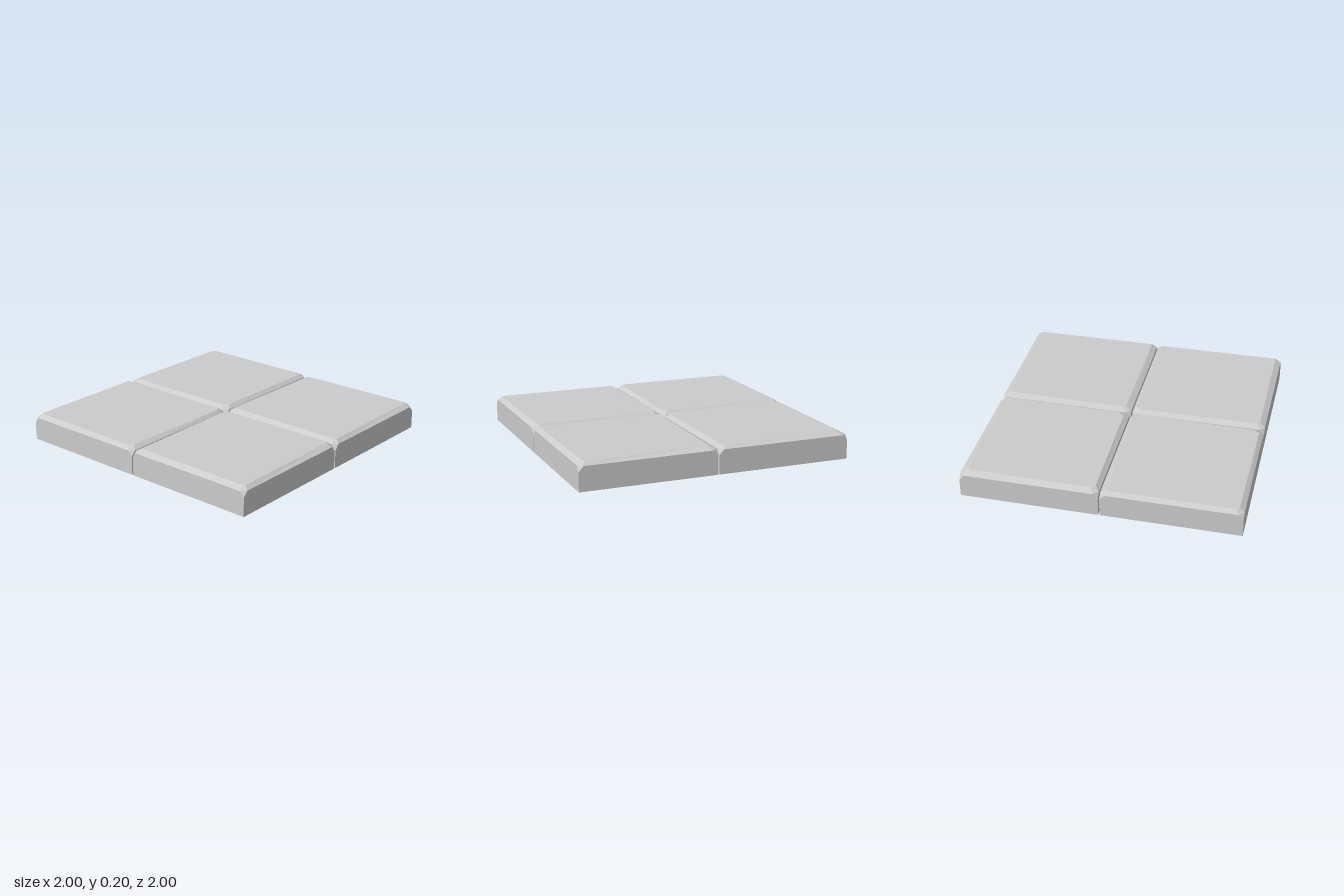
import * as THREE from 'three';

const GAP = 0.005, EDGE = 1;
const CORNER_Y = 0.135, BEVEL_Y = 0.175, TOP_Y = 0.2, CORNER_INSET = 0.035;

// Worn top corners per tile: [x inset, z inset, corner cut],
// in the order front-right-hand turn: (-x,+z), (+x,+z), (+x,-z), (-x,-z).
const TILES = [
  { name: 'backRightTile', sx: -1, sz: -1,
    top: [[0.04, 0.03, 0.025], [0.03, 0.035, 0.04], [0.03, 0.035, 0.02], [0.05, 0.045, 0.02]] },
  { name: 'backLeftTile', sx: 1, sz: -1,
    top: [[0.035, 0.045, 0.015], [0.03, 0.04, 0.015], [0.04, 0.03, 0.015], [0.045, 0.048, 0.02]] },
  { name: 'frontRightTile', sx: -1, sz: 1,
    top: [[0.03, 0.037, 0.02], [0.035, 0.03, 0.03], [0.025, 0.03, 0.025], [0.03, 0.045, 0.01]] },
  { name: 'frontLeftTile', sx: 1, sz: 1,
    top: [[0.04, 0.04, 0.02], [0.03, 0.042, 0.015], [0.04, 0.027, 0.02], [0.03, 0.035, 0.02]] },
];
const CORNERS = [[-1, 1], [1, 1], [1, -1], [-1, -1]];

// Eight-point ring: each corner is split into two points by its cut.
function ring(tile, y, insets) {
  const half = (EDGE - GAP) / 2, mid = (EDGE + GAP) / 2;
  return CORNERS.flatMap(([cx, cz], i) => {
    const [ix, iz, cut] = insets[i];
    const point = (dx, dz) => [
      tile.sx * mid + cx * (half - ix - dx), y, tile.sz * mid + cz * (half - iz - dz)];
    const pair = [point(0, cut), point(cut, 0)];
    return i % 2 ? pair.reverse() : pair;
  });
}

// Hollow slab open underneath, with bevelled rim and faceted corners.
function tileGeometry(tile) {
  const same = (v) => CORNERS.map(() => v);
  const rings = [
    ring(tile, 0, same([0, 0, 0])),
    ring(tile, CORNER_Y, same([0, 0, 0])),
    ring(tile, BEVEL_Y, same([0, 0, CORNER_INSET])),
    ring(tile, TOP_Y, tile.top),
  ];
  const positions = [];
  const differ = (p, q) => p.some((v, i) => v !== q[i]);
  const tri = (a, b, c) => {
    if (differ(a, b) && differ(b, c) && differ(c, a)) positions.push(...a, ...b, ...c);
  };
  // Walls, corner facets and bevels
  for (let r = 0; r < 3; r++) {
    for (let k = 0; k < 8; k++) {
      const n = (k + 1) % 8, lo = rings[r], hi = rings[r + 1];
      tri(lo[k], lo[n], hi[n]);
      tri(lo[k], hi[n], hi[k]);
    }
  }
  // Top face
  const top = rings[3];
  for (let k = 1; k < 7; k++) tri(top[0], top[k], top[k + 1]);

  const geometry = new THREE.BufferGeometry();
  geometry.setAttribute('position', new THREE.Float32BufferAttribute(positions, 3));
  geometry.computeVertexNormals();
  return geometry;
}

export function createModel() {
  const group = new THREE.Group();
  group.name = 'floorTiles';
  const material = new THREE.MeshStandardMaterial({
    color: 0xcccccc, flatShading: true, side: THREE.DoubleSide });
  for (const tile of TILES) {
    const mesh = new THREE.Mesh(tileGeometry(tile), material);
    mesh.name = tile.name;
    group.add(mesh);
  }
  return group;
}
